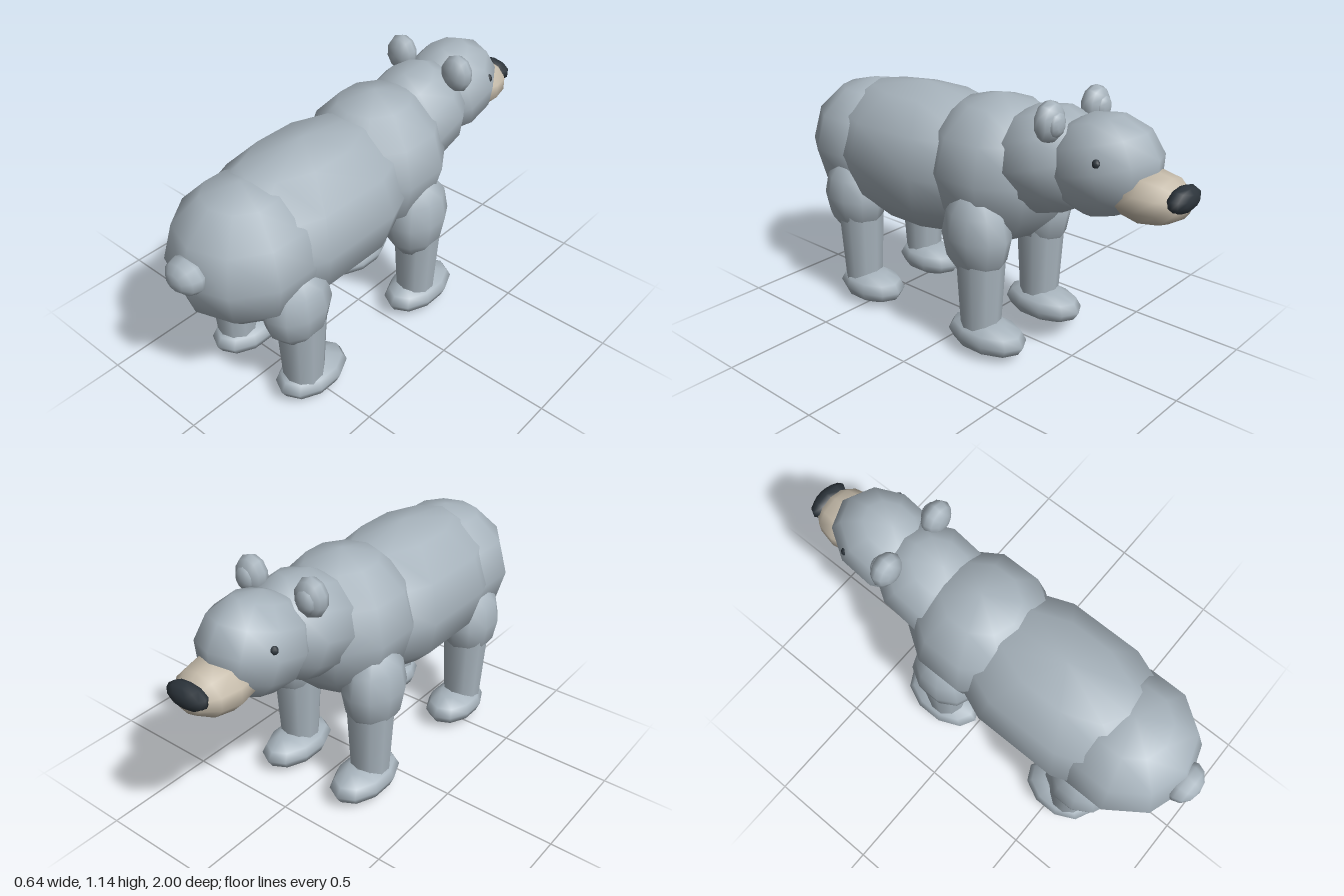
import * as THREE from 'three';

const fur = new THREE.MeshStandardMaterial({ color: 0xa8b4bd });
fur.name = 'greyFur';
const cream = new THREE.MeshStandardMaterial({ color: 0xc6bcab });
cream.name = 'creamMuzzle';
const dark = new THREE.MeshStandardMaterial({ color: 0x2c343b });
dark.name = 'darkNoseAndEyes';

// Coarse smooth sphere; poles on y with corners facing front and back, or poles on z
const uprightBall = new THREE.SphereGeometry(1, 10, 6).rotateY(Math.PI / 2);
const lyingBall = new THREE.SphereGeometry(1, 10, 6).rotateY(Math.PI / 2).rotateX(Math.PI / 2);

function ellipsoid(parent, name, material, pos, radii, { tilt = 0, lying = false } = {}) {
  const geometry = (lying ? lyingBall : uprightBall).clone().scale(...radii);
  const mesh = new THREE.Mesh(geometry, material);
  mesh.name = name;
  mesh.position.set(...pos);
  mesh.rotation.x = tilt;
  parent.add(mesh);
  return mesh;
}

// Thigh, shin and paw of one leg
function makeLeg(name, side, { thigh, thighR, shinZ, pawZ, pawR }) {
  const leg = new THREE.Group();
  leg.name = name;
  const x = side * 0.2;
  ellipsoid(leg, 'upperLeg', fur, [side * 0.203, ...thigh], thighR);
  const shin = new THREE.Mesh(new THREE.CylinderGeometry(0.108, 0.085, 0.4, 10), fur);
  shin.name = 'lowerLeg';
  shin.position.set(x, 0.3, shinZ);
  leg.add(shin);
  ellipsoid(leg, 'paw', fur, [side * 0.195, 0.077, pawZ], pawR);
  return leg;
}

export function createModel() {
  const bear = new THREE.Group();
  bear.name = 'bear';

  // Body
  ellipsoid(bear, 'torso', fur, [0, 0.72, 0.32], [0.326, 0.328, 0.6]);
  ellipsoid(bear, 'rump', fur, [0, 0.71, 0.645], [0.302, 0.3, 0.31]);
  ellipsoid(bear, 'shoulders', fur, [0, 0.76, -0.1], [0.3, 0.315, 0.33]);
  ellipsoid(bear, 'neck', fur, [0, 0.85, -0.36], [0.222, 0.225, 0.27], { tilt: 0.3 });
  ellipsoid(bear, 'tail', fur, [0, 0.75, 0.93], [0.092, 0.073, 0.07], { lying: true });

  // Head
  ellipsoid(bear, 'head', fur, [0, 0.885, -0.612], [0.2, 0.205, 0.245], { tilt: 0.28 });
  ellipsoid(bear, 'muzzle', cream, [0, 0.81, -0.82], [0.137, 0.103, 0.165], { lying: true });
  ellipsoid(bear, 'nose', dark, [0, 0.833, -0.955], [0.098, 0.052, 0.046], { lying: true });

  for (const side of [1, -1]) {
    const label = side > 0 ? 'left' : 'right';

    // Ears and eyes
    ellipsoid(bear, label + 'Ear', fur, [side * 0.148, 1.055, -0.458], [0.073, 0.084, 0.052], { lying: true });
    ellipsoid(bear, label + 'InnerEar', fur, [side * 0.15, 1.052, -0.493], [0.045, 0.052, 0.027], { lying: true });
    ellipsoid(bear, label + 'Eye', dark, [side * 0.163, 0.945, -0.683], [0.018, 0.02, 0.018]);

    // Legs
    bear.add(makeLeg(label + 'FrontLeg', side, {
      thigh: [0.525, -0.145], thighR: [0.125, 0.205, 0.158],
      shinZ: -0.165, pawZ: -0.195, pawR: [0.117, 0.077, 0.195],
    }));
    bear.add(makeLeg(label + 'HindLeg', side, {
      thigh: [0.51, 0.592], thighR: [0.125, 0.185, 0.155],
      shinZ: 0.565, pawZ: 0.515, pawR: [0.117, 0.077, 0.175],
    }));
  }

  return bear;
}
